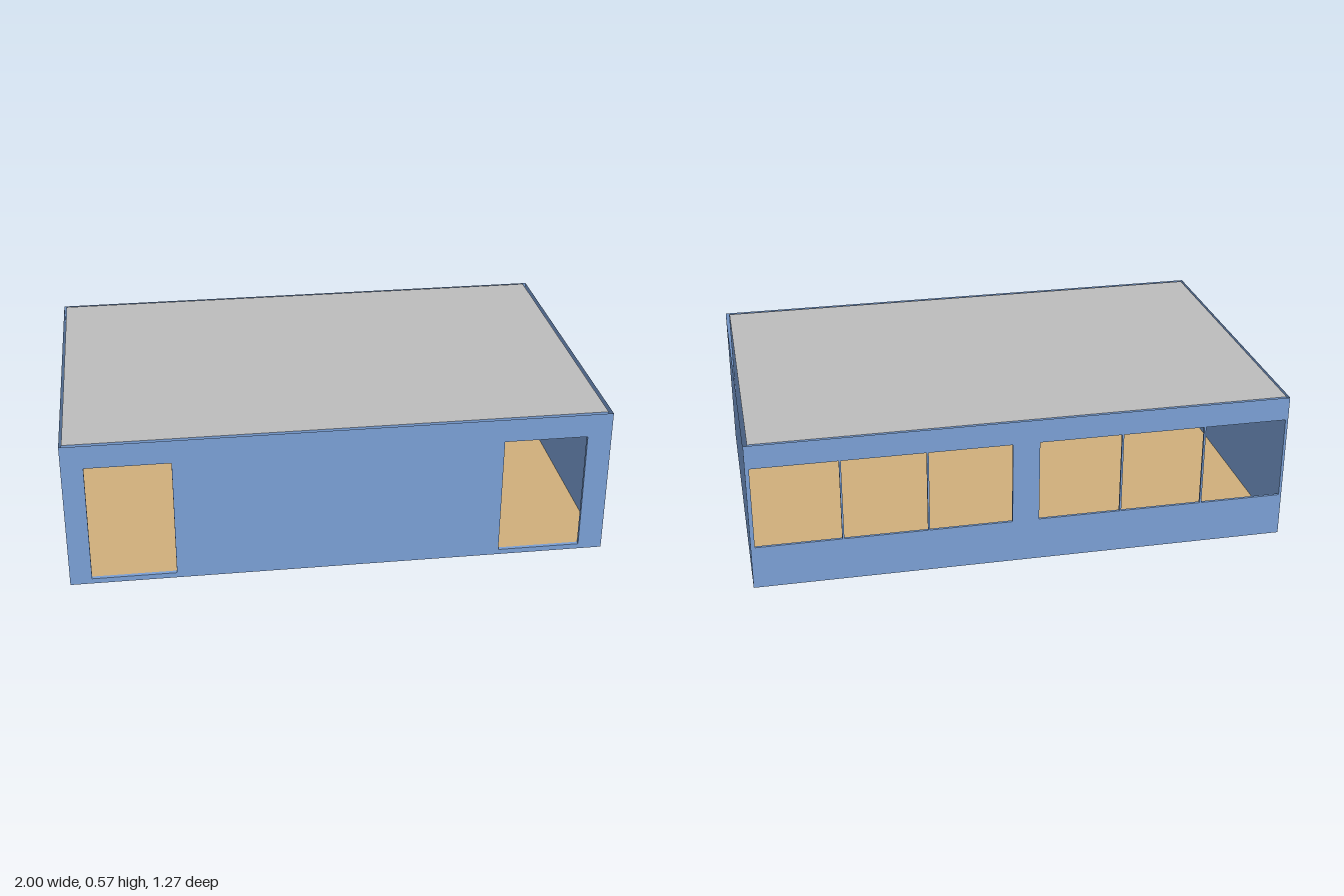
import * as THREE from 'three';
import { mergeGeometries } from 'three/addons/utils/BufferGeometryUtils.js';

const HEIGHT = 0.57, FLOOR_Y = 0.02;
// inner faces of the room
const IN = { left: 0.985, right: -0.99, front: 0.62, back: -0.625 };
const OUT = { x: 1, z: 0.635 };

function material(name, color) {
  const m = new THREE.MeshStandardMaterial({ color, side: THREE.DoubleSide });
  m.name = name;
  return m;
}

// upright sheet in the xy plane with rectangular holes [x0, x1, y0, y1]
function sheet(x0, x1, z, holes = []) {
  const rect = (C, a, b, c, d) => {
    const p = new C();
    p.moveTo(a, c); p.lineTo(b, c); p.lineTo(b, d); p.lineTo(a, d); p.closePath();
    return p;
  };
  const s = rect(THREE.Shape, x0, x1, 0, HEIGHT);
  s.holes = holes.map(h => rect(THREE.Path, ...h));
  return new THREE.ShapeGeometry(s).translate(0, 0, z);
}

// the four faces lining an opening between two sheets
function reveal([x0, x1, y0, y1], za, zb) {
  const depth = Math.abs(za - zb), zm = (za + zb) / 2, xm = (x0 + x1) / 2, ym = (y0 + y1) / 2;
  const flat = (y, turn) => new THREE.PlaneGeometry(x1 - x0, depth).rotateX(turn).translate(xm, y, zm);
  const side = (x, turn) => new THREE.PlaneGeometry(depth, y1 - y0).rotateY(turn).translate(x, ym, zm);
  const q = Math.PI / 2;
  return [flat(y0, -q), flat(y1, q), side(x0, q), side(x1, -q)];
}

// hollow wall: outer sheet, inner sheet and lined openings, open at top and bottom
function hollowWall(outerZ, innerZ, holes) {
  const inner = sheet(IN.right - 0.002, IN.left + 0.002, innerZ, holes);
  const outer = sheet(-OUT.x, OUT.x, outerZ, holes);
  return mergeGeometries(
    [outer, inner, ...holes.flatMap(h => reveal(h, outerZ, innerZ))].map(g => g.toNonIndexed()));
}

export function createModel() {
  const group = new THREE.Group();
  const blue = material('wallBlue', 0x7a9fd4);
  const grey = material('roofGrey', 0xbdbdbd);
  const tan = material('floorTan', 0xd0af7b);
  const add = (name, geometry, mat) => {
    const mesh = new THREE.Mesh(geometry, mat);
    mesh.name = name;
    group.add(mesh);
  };

  // front wall with two doorways
  const doors = [[-0.92, -0.61, FLOOR_Y, 0.48], [0.60, 0.91, FLOOR_Y, 0.48]];
  add('frontWall', hollowWall(OUT.z, IN.front, doors), blue);

  // back wall with two banks of three windows, thin mullions between
  const windows = [[-0.99, -0.682], [-0.675, -0.369], [-0.362, -0.055],
    [0.045, 0.352], [0.359, 0.665], [0.672, 0.985]].map(w => [...w, 0.165, 0.48]);
  add('backWall', hollowWall(-OUT.z, IN.back, windows), blue);

  // plain side walls, each an outer and an inner sheet
  for (const [name, outer, inner] of [['leftWall', OUT.x, IN.left], ['rightWall', -OUT.x, IN.right]]) {
    const turn = Math.sign(outer) * Math.PI / 2;
    const upright = (x, depth, zm) =>
      new THREE.PlaneGeometry(depth, HEIGHT).rotateY(turn).translate(x, HEIGHT / 2, zm);
    const depth = IN.front - IN.back;
    add(name, mergeGeometries([
      upright(outer, OUT.z * 2, 0),
      upright(inner, depth, (IN.front + IN.back) / 2).rotateY(0),
    ]), blue);
  }

  // floor and roof sheets
  const slab = y => new THREE.PlaneGeometry(IN.left - IN.right, IN.front - IN.back)
    .rotateX(-Math.PI / 2)
    .translate((IN.left + IN.right) / 2, y, (IN.front + IN.back) / 2);
  add('floor', slab(FLOOR_Y), tan);
  add('roof', slab(HEIGHT), grey);

  return group;
}
